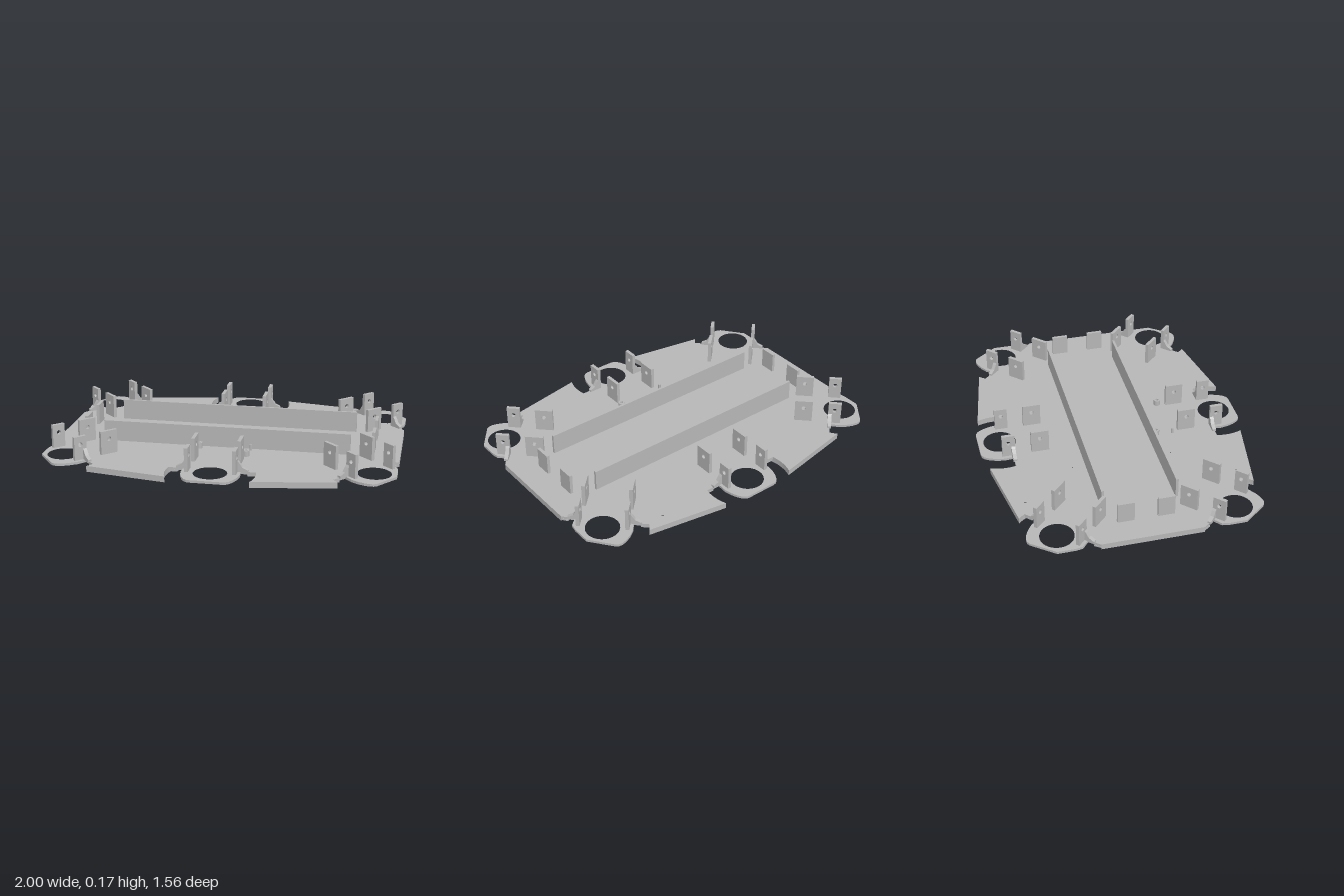
import * as THREE from 'three';

const TOP = 0.034; // upper face of the deck
const CLEAR = 0.25; // clearance radius around each socket
const FLAT = -0.055; // where each socket tab leaves the deck

// Sockets: centre, facing angle, and where the clearance arc meets the deck edge (degrees)
const sockets = [
  { x: 0, z: 0.655, face: 0, a: 22, b: 22 },
  { x: 0.877, z: 0.497, face: 45, a: -2, b: -12.7 },
  { x: 0.877, z: -0.497, face: 135, a: -12.7, b: -2 },
  { x: 0, z: -0.655, face: 180, a: 22, b: 22 },
  { x: -0.877, z: -0.497, face: 225, a: -2, b: -12.7 },
  { x: -0.877, z: 0.497, face: 315, a: -12.7, b: -2 },
];
const rad = THREE.MathUtils.degToRad;

function arc(r, from, to, n = 24) {
  return Array.from({ length: n + 1 }, (_, i) => {
    const t = rad(from + (to - from) * i / n);
    return [r * Math.cos(t), r * Math.sin(t)];
  });
}

function circleHole(x, y, r) {
  return new THREE.Path().absarc(x, y, r, 0, Math.PI * 2, true);
}

// Right half of a socket tab, from its root to its rounded nose
const tabSide = [[0.16, FLAT], [0.164, 0], [0.155, 0.045], [0.142, 0.08], [0.125, 0.108], [0.108, 0.121], [0.09, 0.125]];

// Local outline of a socket for one deck layer
function socketOutline(s, layer) {
  if (layer === 'bottom') return arc(CLEAR, 180 - s.a, 360 + s.b, 48);
  const left = arc(CLEAR, 180 - s.a, 192.7, 8);
  const right = arc(CLEAR, 347.3, 360 + s.b, 8);
  if (layer === 'middle') return [...left, ...arc(0.205, 195.5, 344.5, 40), ...right];
  const mirrored = tabSide.map(([u, v]) => [-u, v]);
  return [...left, ...mirrored, ...[...tabSide].reverse(), ...right];
}

function deckLayer(layer, y0, y1) {
  const pts = [];
  for (const s of sockets) {
    const c = Math.cos(rad(s.face)), n = Math.sin(rad(s.face));
    for (const [u, v] of socketOutline(s, layer)) {
      const x = THREE.MathUtils.clamp(s.x + u * c + v * n, -1, 1);
      pts.push(new THREE.Vector2(x, s.z - u * n + v * c));
    }
  }
  const shape = new THREE.Shape(pts);
  // Bolt holes, and the round socket openings in the top layer
  for (const i of [-1, 1]) for (const k of [-1, 1]) {
    shape.holes.push(circleHole(i * 0.32, k * 0.29, 0.016), circleHole(i * 0.56, k * 0.608, 0.016));
  }
  if (layer === 'top') for (const s of sockets) shape.holes.push(circleHole(s.x, s.z, 0.094));
  const geo = new THREE.ExtrudeGeometry(shape, { depth: y1 - y0, bevelEnabled: false, curveSegments: 24 });
  return geo.rotateX(Math.PI / 2).translate(0, y1, 0);
}

// Upright drilled plate lying along local z
function drilledPlate(z0, z1) {
  const shape = new THREE.Shape([[z0, TOP - 0.004], [z1, TOP - 0.004], [z1, 0.17], [z0, 0.17]].map(p => new THREE.Vector2(...p)));
  shape.holes.push(circleHole((z0 + z1) / 2, 0.122, 0.013));
  const geo = new THREE.ExtrudeGeometry(shape, { depth: 0.02, bevelEnabled: false, curveSegments: 10 });
  return geo.translate(0, 0, -0.01).rotateY(-Math.PI / 2);
}

// Sloping brace on the outside of a bracket
function braceGeometry(side) {
  const pts = [[0.14, TOP - 0.004], [0.2, TOP - 0.004], [0.2, 0.045], [0.168, 0.06], [0.152, 0.085], [0.14, 0.1]];
  const shape = new THREE.Shape(pts.map(([u, y]) => new THREE.Vector2(u * side, y)));
  return new THREE.ExtrudeGeometry(shape, { depth: 0.022, bevelEnabled: false }).translate(0, 0, FLAT - 0.015);
}

export function createModel() {
  const model = new THREE.Group();
  model.name = 'chassisPlate';
  const grey = new THREE.MeshStandardMaterial({ color: 0xb6b6b6 });
  grey.name = 'plainGrey';

  const add = (name, geo, parent = model, x = 0, y = 0, z = 0) => {
    const mesh = new THREE.Mesh(geo, grey);
    mesh.name = name;
    mesh.position.set(x, y, z);
    parent.add(mesh);
    return mesh;
  };

  // Deck in three layers, with stepped recesses under the sockets
  add('deckBottom', deckLayer('bottom', 0, 0.01));
  add('deckMiddle', deckLayer('middle', 0.01, 0.02));
  add('deckTop', deckLayer('top', 0.02, TOP));

  // Drilled brackets and braces at every socket
  const outer = drilledPlate(-0.07, 0.005);
  const inner = drilledPlate(-0.268, -0.164);
  for (const s of sockets) {
    const mount = new THREE.Group();
    mount.name = 'socketMount';
    mount.position.set(s.x, 0, s.z);
    mount.rotation.y = rad(s.face);
    model.add(mount);
    for (const side of [-1, 1]) {
      add('outerBracket', outer, mount, side * 0.133);
      add('innerBracket', inner, mount, side * 0.13);
      add('brace', braceGeometry(side), mount);
    }
  }

  // Long rails and short side walls
  const rail = new THREE.BoxGeometry(1.44, 0.125, 0.015);
  const wall = new THREE.BoxGeometry(0.018, 0.125, 0.095);
  for (const k of [-1, 1]) {
    add('longRail', rail, model, 0, 0.0925, k * 0.21);
    for (const i of [-1, 1]) add('sideWall', wall, model, i * 0.845, 0.0925, k * 0.113);
  }

  // Hollow standoffs and locating pins
  const ring = new THREE.Shape().absarc(0, 0, 0.02, 0, Math.PI * 2);
  ring.holes.push(circleHole(0, 0, 0.009));
  const standoff = new THREE.ExtrudeGeometry(ring, { depth: 0.035, bevelEnabled: false, curveSegments: 12 }).rotateX(-Math.PI / 2);
  const pin = new THREE.CylinderGeometry(0.008, 0.008, 0.035, 16);
  for (const [sx, sz, px, pz] of [[-0.147, 0.252, -0.155, 0.35], [0.143, 0.34, 0.153, 0.242]]) {
    add('standoff', standoff, model, sx, TOP - 0.002, sz);
    add('locatingPin', pin, model, px, TOP + 0.0155, pz);
  }
  return model;
}
